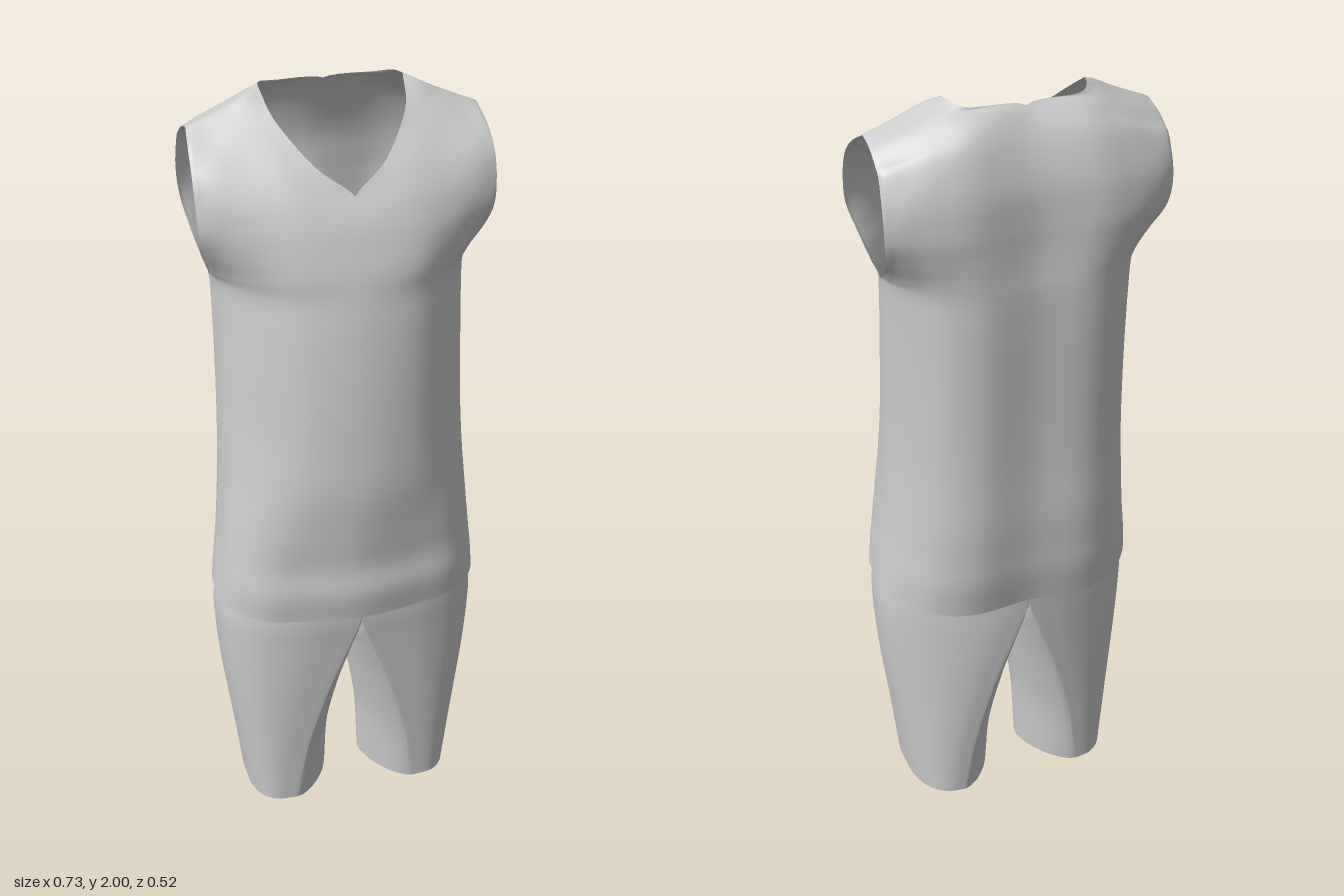
import * as THREE from 'three';
import { mergeGeometries, mergeVertices } from 'three/addons/utils/BufferGeometryUtils.js';

const U = 5, V = 6; // subdivisions between control points, across and upward

// Catmull-Rom through a, b, c, d (between b and c)
const cr = (a, b, c, d, t) => b.map((_, i) => 0.5 * (2 * b[i] + (c[i] - a[i]) * t
  + (2 * a[i] - 5 * b[i] + 4 * c[i] - d[i]) * t * t
  + (3 * b[i] - a[i] - 3 * c[i] + d[i]) * t * t * t));

// Samples a spline; an end on the centre plane continues into its mirror image
function sample(pts, div, mirrorEnds) {
  const ghost = (p, q) => mirrorEnds && Math.abs(p[0]) < 1e-6
    ? [-q[0], q[1], q[2]] : p.map((v, i) => 2 * v - q[i]);
  const n = pts.length;
  const all = [ghost(pts[0], pts[1]), ...pts, ghost(pts[n - 1], pts[n - 2])];
  const out = [];
  for (let i = 0; i < n - 1; i++)
    for (let k = 0; k < div; k++) out.push(cr(...all.slice(i, i + 4), k / div));
  out.push(pts[n - 1]);
  return out;
}

// Cloth patch through rows of points, plus its mirror image in x
function patchPair(rows, flip, skipTop = 0) {
  const across = rows.map(r => sample(r, U, true));
  const nu = across[0].length, nv = (rows.length - 1 - skipTop) * V + 1;
  const cols = across[0].map((_, u) => sample(across.map(r => r[u]), V, false));
  return [1, -1].map(side => {
    const pos = [], idx = [];
    for (let v = 0; v < nv; v++)
      for (let u = 0; u < nu; u++) {
        const [x, y, z] = cols[u][v];
        pos.push(side * Math.max(0, x), y, z);
      }
    for (let v = 0; v < nv - 1; v++)
      for (let u = 0; u < nu - 1; u++) {
        const a = v * nu + u, b = a + 1, c = a + nu, d = c + 1;
        if (flip === (side < 0)) idx.push(a, b, d, a, d, c);
        else idx.push(a, d, b, a, c, d);
      }
    const g = new THREE.BufferGeometry();
    g.setAttribute('position', new THREE.Float32BufferAttribute(pos, 3));
    g.setIndex(idx);
    return g;
  });
}

function cloth(name, patches) {
  const g = mergeVertices(mergeGeometries(patches.flat()), 1e-4);
  g.computeVertexNormals();
  const mesh = new THREE.Mesh(g, new THREE.MeshStandardMaterial({ color: 0xcccccc, side: THREE.DoubleSide }));
  mesh.name = name;
  return mesh;
}

function makeShirt() {
  // Torso rows: height, half width, front z, back z, side seam z, slimness of the corners
  const torso = [
    [0.68, 0.355, 0.235, -0.215, 0, 0], [0.74, 0.348, 0.245, -0.23, 0, 0],
    [0.82, 0.339, 0.238, -0.235, 0, 0], [0.92, 0.33, 0.247, -0.24, -0.005, 0.2],
    [1.05, 0.322, 0.257, -0.24, -0.01, 0.65], [1.19, 0.318, 0.251, -0.243, -0.015, 0.95],
    [1.34, 0.316, 0.24, -0.248, -0.022, 1], [1.47, 0.316, 0.225, -0.252, -0.032, 1],
    [1.555, 0.319, 0.211, -0.253, -0.04, 0.95],
  ];
  const fx = [0, 0.42, 0.7, 0.87, 0.97, 1];
  const full = { front: [1, 0.92, 0.82, 0.63, 0.38, 0], back: [0.97, 1.01, 0.86, 0.58, 0.27, 0] };
  const slim = { front: [1, 0.91, 0.68, 0.44, 0.21, 0], back: [0.97, 1.01, 0.86, 0.57, 0.26, 0] };
  const torsoRows = (part, zi, drop) => torso.map((r, i) => fx.map((k, j) => {
    const f = THREE.MathUtils.lerp(full[part][j], slim[part][j], r[5]);
    return [k * r[1], r[0] - (i === 0 ? drop * f : 0), r[4] + (r[zi] - r[4]) * f];
  }));

  // Shoulder seam shared by both panels
  const seam = [[0.176, 2, -0.085], [0.21, 1.987, -0.067], [0.26, 1.963, -0.06],
    [0.31, 1.943, -0.06], [0.345, 1.93, -0.06], [0.355, 1.925, -0.06]];
  // Chest rows, from the neckline or centre out to the armhole
  const chest = [
    [[0, 1.615, 0.2], [0.137, 1.613, 0.186], [0.225, 1.605, 0.14], [0.282, 1.598, 0.087], [0.317, 1.59, 0.033], [0.327, 1.588, 0.003]],
    [[0, 1.67, 0.184], [0.14, 1.668, 0.175], [0.232, 1.66, 0.142], [0.293, 1.655, 0.105], [0.33, 1.648, 0.072], [0.341, 1.643, 0.056]],
    [[0, 1.73, 0.163], [0.14, 1.728, 0.157], [0.24, 1.724, 0.134], [0.305, 1.719, 0.11], [0.345, 1.715, 0.093], [0.36, 1.71, 0.082]],
    [[0, 1.79, 0.13], [0.13, 1.79, 0.13], [0.23, 1.79, 0.115], [0.305, 1.785, 0.1], [0.35, 1.785, 0.083], [0.365, 1.78, 0.078]],
    [[0.085, 1.855, 0.088], [0.16, 1.86, 0.08], [0.24, 1.855, 0.07], [0.31, 1.85, 0.065], [0.35, 1.845, 0.058], [0.365, 1.845, 0.053]],
    [[0.157, 1.943, 0.001], [0.2, 1.933, 0.003], [0.255, 1.92, 0.003], [0.31, 1.903, 0.005], [0.35, 1.895, 0.005], [0.362, 1.89, 0.005]],
  ];
  // Upper back rows
  const back = [
    [[0, 1.612, -0.243], [0.138, 1.61, -0.256], [0.225, 1.603, -0.231], [0.282, 1.597, -0.178], [0.317, 1.588, -0.113], [0.327, 1.585, -0.08]],
    [[0, 1.665, -0.241], [0.14, 1.665, -0.257], [0.232, 1.66, -0.242], [0.293, 1.653, -0.207], [0.328, 1.643, -0.165], [0.34, 1.635, -0.143]],
    [[0, 1.73, -0.241], [0.15, 1.73, -0.258], [0.24, 1.727, -0.249], [0.308, 1.72, -0.226], [0.343, 1.71, -0.203], [0.355, 1.705, -0.19]],
    [[0, 1.82, -0.235], [0.15, 1.82, -0.25], [0.24, 1.815, -0.24], [0.31, 1.8, -0.225], [0.35, 1.79, -0.207], [0.36, 1.78, -0.2]],
    [[0, 1.91, -0.205], [0.14, 1.915, -0.22], [0.23, 1.9, -0.21], [0.3, 1.88, -0.195], [0.345, 1.865, -0.185], [0.358, 1.86, -0.175]],
    [[0, 1.98, -0.16], [0.13, 1.967, -0.178], [0.22, 1.938, -0.175], [0.3, 1.905, -0.165], [0.345, 1.89, -0.155], [0.357, 1.885, -0.15]],
    [[0.13, 1.988, -0.15], [0.19, 1.975, -0.142], [0.25, 1.95, -0.138], [0.31, 1.925, -0.132], [0.345, 1.91, -0.125], [0.356, 1.905, -0.12]],
    [[0.165, 1.997, -0.122], [0.203, 1.983, -0.106], [0.255, 1.959, -0.1], [0.31, 1.936, -0.097], [0.345, 1.921, -0.094], [0.355, 1.917, -0.091]],
  ];
  return cloth('sleevelessShirt', [
    patchPair([...torsoRows('front', 2, 0.02), ...chest, seam], false),
    patchPair([...torsoRows('back', 3, 0.033), ...back, seam], true),
  ]);
}

function makeShorts() {
  // Height, x of front and back points, inner x, outer x, front z, back z, crotch dip
  const rows = [
    [0.004, 0.17, 0.052, 0.288, 0.16, -0.163, 0],
    [0.2, 0.14, 0.044, 0.312, 0.175, -0.178, 0.01],
    [0.4, 0.085, 0.02, 0.338, 0.192, -0.193, 0.05],
    [0.55, 0.03, 0.004, 0.351, 0.205, -0.203, 0.09],
    [0.65, 0, 0, 0.35, 0.213, -0.206, 0.14],
    [0.8, 0, 0, 0.325, 0.208, -0.207, 0.14],
    [1.0, 0, 0, 0.3, 0.2, -0.2, 0.14],
  ];
  // Half a rounded section from front to back, round the outer or inner leg
  const half = (inner) => ([y, xm, xin, xout, zf, zb, dip]) => Array.from({ length: 13 }, (_, i) => {
    const a = Math.PI / 2 - i * Math.PI / 12;
    const outerE = i <= 6 ? 0.68 + 0.1 * y : Math.min(1.02, 0.84 + 0.4 * y);
    const e = inner ? 1.3 : outerE;
    const c = i % 12 ? Math.cos(a) ** e : 0, s = Math.abs(Math.sin(a)) ** e;
    return [xm + ((inner ? xin : xout) - xm) * c, inner ? y - dip * c : y, s * (i <= 6 ? zf : zb)];
  });
  return cloth('shorts', [
    patchPair(rows.map(half(false)), false),
    patchPair(rows.slice(0, 6).map(half(true)), true, 1),
  ]);
}

export function createModel() {
  const group = new THREE.Group();
  group.name = 'outfit';
  group.add(makeShirt(), makeShorts());
  return group;
}
